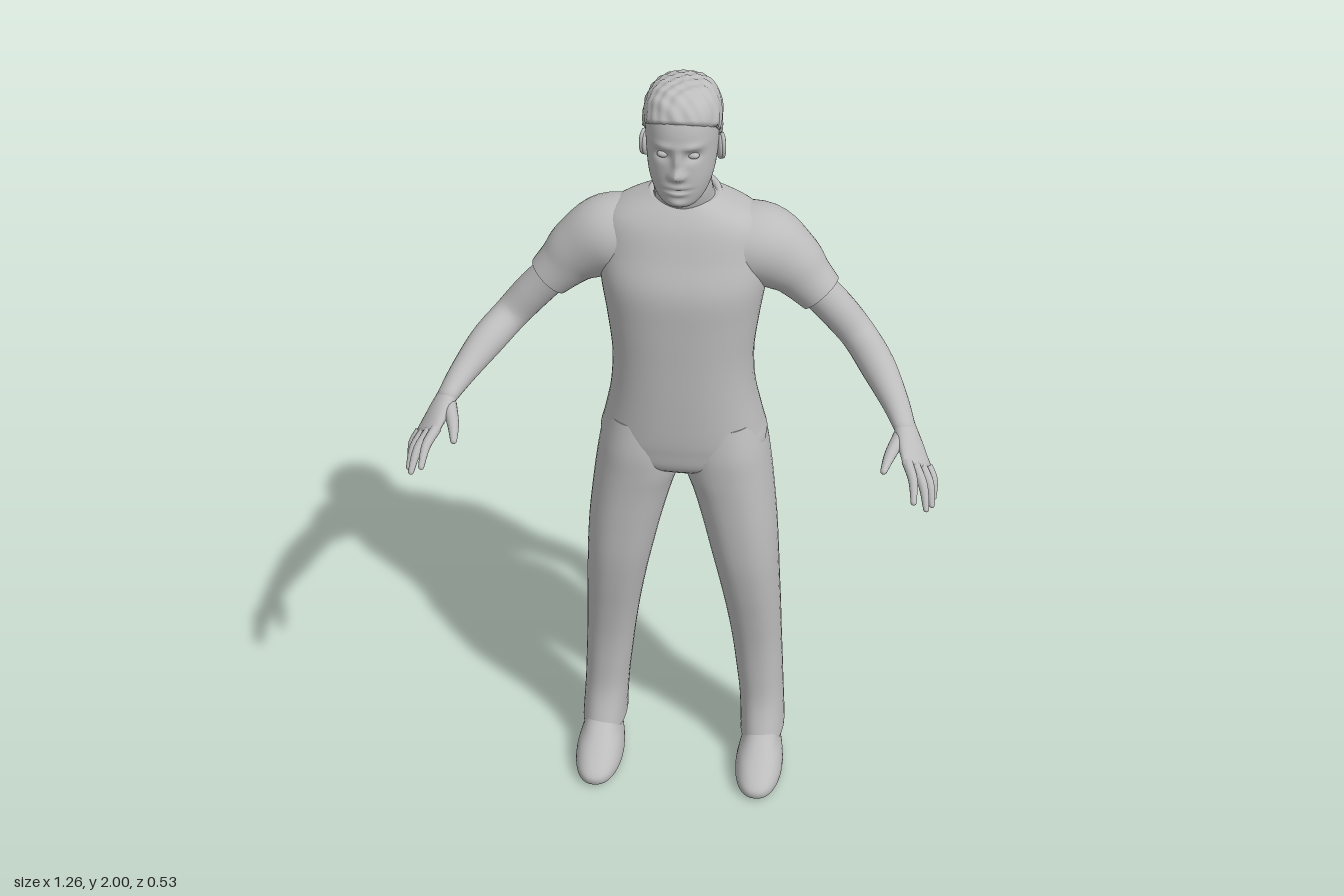
import * as THREE from 'three';

const grey = new THREE.MeshStandardMaterial({ color: 0xbcbcbc });
grey.name = 'plain grey';

// Smoothly resamples rows of numbers
function resample(rows, steps) {
  const out = [], n = rows.length;
  const at = (i) => rows[Math.min(n - 1, Math.max(0, i))];
  for (let i = 0; i < n - 1; i++) {
    for (let s = 0; s < steps; s++) {
      const t = s / steps;
      out.push(at(i).map((b, k) => {
        const a = at(i - 1)[k], c = at(i + 1)[k], d = at(i + 2)[k];
        return 0.5 * (2 * b + (c - a) * t + (2 * a - 5 * b + 4 * c - d) * t * t + (3 * b - a - 3 * c + d) * t * t * t);
      }));
    }
  }
  out.push(rows[n - 1]);
  return out;
}

// Skins a list of point rings and closes both ends
function skin(rings) {
  const pos = [], idx = [], n = rings[0].length;
  rings.forEach((r) => r.forEach((p) => pos.push(p.x, p.y, p.z)));
  for (let i = 0; i < rings.length - 1; i++) {
    for (let j = 0; j < n; j++) {
      const a = i * n + j, b = i * n + (j + 1) % n;
      idx.push(a, a + n, b, b, a + n, b + n);
    }
  }
  [rings[0], rings[rings.length - 1]].forEach((r, end) => {
    const base = pos.length / 3;
    const c = r.reduce((s, p) => s.add(p), new THREE.Vector3()).divideScalar(n);
    [...r, c].forEach((p) => pos.push(p.x, p.y, p.z));
    for (let j = 0; j < n; j++) {
      const a = base + j, b = base + (j + 1) % n;
      if (end) idx.push(a, base + n, b); else idx.push(a, b, base + n);
    }
  });
  const g = new THREE.BufferGeometry();
  g.setAttribute('position', new THREE.Float32BufferAttribute(pos, 3));
  g.setIndex(idx);
  g.computeVertexNormals();
  return g;
}

// Stacked level sections, rows of [y, xMin, xMax, zFront, zBack]
function stack(rows, power = 2.2, steps = 5, seg = 40, shape = (p) => p) {
  const bend = (v) => Math.sign(v) * Math.abs(v) ** (2 / power);
  return skin(resample(rows, steps).map(([y, x0, x1, zf, zb]) =>
    Array.from({ length: seg }, (_, j) => {
      const a = (j / seg) * Math.PI * 2;
      return shape(new THREE.Vector3(
        (x0 + x1) / 2 + bend(Math.cos(a)) * (x1 - x0) / 2, y,
        (zf + zb) / 2 + bend(Math.sin(a)) * (zf - zb) / 2));
    })));
}

// Tube along points [x, y, z, radiusU, radiusV]; u is the section's first axis
function limb(points, u, { steps = 5, seg = 20, round = true } = {}) {
  const rows = resample(points, steps), last = rows.length - 1;
  const P = (i) => new THREE.Vector3(...rows[Math.min(last, Math.max(0, i))]);
  const ring = (i, push, scale) => {
    const T = P(i + 1).sub(P(i - 1)).normalize();
    const U = new THREE.Vector3(...u);
    U.addScaledVector(T, -U.dot(T)).normalize();
    const V = U.clone().cross(T), [, , , ru, rv] = rows[i];
    return Array.from({ length: seg }, (_, j) => {
      const a = (j / seg) * Math.PI * 2;
      return P(i).addScaledVector(T, push * Math.min(ru, rv))
        .addScaledVector(U, Math.cos(a) * ru * scale).addScaledVector(V, Math.sin(a) * rv * scale);
    });
  };
  const rings = rows.map((_, i) => ring(i, 0, 1));
  if (round) {
    for (const d of [0.4, 0.8, 1.2, 1.5]) rings.push(ring(last, Math.sin(d), Math.cos(d)));
  }
  return skin(rings);
}

function mirrored(geo) {
  const g = geo.clone().scale(-1, 1, 1), i = g.index.array;
  for (let k = 0; k < i.length; k += 3) [i[k], i[k + 1]] = [i[k + 1], i[k]];
  return g;
}

// Face relief: [x, y, depth, width, height]
const relief = [
  [0, 1.818, 0.022, 0.012, 0.014], [0, 1.85, 0.013, 0.009, 0.024],
  [0.014, 1.813, 0.007, 0.007, 0.008], [-0.014, 1.813, 0.007, 0.007, 0.008],
  [0.034, 1.86, -0.012, 0.018, 0.012], [-0.034, 1.86, -0.012, 0.018, 0.012],
  [0.032, 1.884, 0.006, 0.024, 0.008], [-0.032, 1.884, 0.006, 0.024, 0.008],
  [0, 1.785, 0.006, 0.024, 0.006], [0, 1.768, 0.007, 0.02, 0.006],
  [0, 1.777, -0.005, 0.026, 0.003], [0, 1.742, 0.007, 0.02, 0.01],
];
function face(p) {
  if (p.z > -0.06) {
    for (const [x, y, d, w, h] of relief) p.z += d * Math.exp(-(((p.x - x) / w) ** 2) - ((p.y - y) / h) ** 2);
  }
  return p;
}
// Hair stands proud above the hairline and sinks into the skull below it
function hairShape(p) {
  const line = p.z > -0.05 ? 1.94 - Math.max(0, 0.02 - p.z) * 0.5 : 1.905 - (-0.05 - p.z) * 0.85;
  const lift = THREE.MathUtils.smoothstep(p.y, line - 0.006, line + 0.008) * 0.018 - 0.012;
  const tuft = lift > 0 ? 0.0025 * Math.sin(p.x * 170 + p.y * 90) * Math.sin(p.z * 190 + p.y * 60) : 0;
  const c = new THREE.Vector3(0, 1.88, -0.09);
  return p.addScaledVector(p.clone().sub(c).normalize(), lift + tuft);
}

export function createModel() {
  const model = new THREE.Group();
  model.name = 'standingMan';
  const add = (name, geo) => {
    const m = new THREE.Mesh(geo, grey);
    m.name = name;
    model.add(m);
  };
  const pair = (name, geo) => {
    add('left' + name, geo);
    add('right' + name, mirrored(geo));
  };

  // Torso, rows of [y, half width, zFront, zBack]
  const torso = [
    [0.965, 0.09, -0.04, -0.19], [1.0, 0.19, 0.0, -0.235], [1.05, 0.207, 0.012, -0.258], [1.1, 0.196, 0.018, -0.26],
    [1.2, 0.176, 0.022, -0.24], [1.3, 0.171, 0.024, -0.235], [1.4, 0.182, 0.026, -0.245], [1.5, 0.197, 0.025, -0.255],
    [1.58, 0.2, 0.0, -0.252], [1.64, 0.19, -0.02, -0.24], [1.675, 0.15, -0.038, -0.225], [1.705, 0.08, -0.06, -0.205],
  ].map(([y, w, f, b]) => [y, -w, w, f, b]);
  add('torso', stack(torso, 2.4, 5, 56));

  // Short sleeves
  pair('Sleeve', limb([
    [0.1, 1.585, -0.135, 0.1, 0.085], [0.18, 1.573, -0.135, 0.1, 0.098], [0.25, 1.533, -0.13, 0.077, 0.08],
    [0.29, 1.495, -0.125, 0.062, 0.064], [0.325, 1.46, -0.12, 0.054, 0.055],
  ], [0, 0, 1], { seg: 32, round: false }));

  // Trouser legs
  pair('TrouserLeg', stack([
    [0.08, 0.158, 0.276, -0.03, -0.247], [0.1, 0.158, 0.276, -0.03, -0.246], [0.2, 0.152, 0.27, -0.058, -0.236],
    [0.3, 0.141, 0.265, -0.06, -0.23], [0.4, 0.129, 0.26, -0.053, -0.226], [0.5, 0.114, 0.256, -0.037, -0.222],
    [0.6, 0.096, 0.251, -0.018, -0.22], [0.7, 0.075, 0.246, -0.003, -0.222], [0.8, 0.052, 0.239, 0.003, -0.231],
    [0.9, 0.025, 0.228, 0.006, -0.247], [0.97, 0.002, 0.219, 0.009, -0.258], [1.04, -0.002, 0.207, 0.01, -0.262],
    [1.12, 0.01, 0.185, 0.0, -0.245],
  ], 2.3));

  // Shoes
  pair('Shoe', stack([
    [0, 0.162, 0.276, 0.085, -0.19], [0.012, 0.155, 0.282, 0.098, -0.2], [0.035, 0.155, 0.282, 0.098, -0.2],
    [0.06, 0.16, 0.277, 0.066, -0.198], [0.085, 0.168, 0.269, 0.015, -0.195], [0.11, 0.174, 0.264, -0.025, -0.19],
    [0.14, 0.178, 0.258, -0.06, -0.18],
  ], 2.3, 4, 40, (p) => {
    // Narrow the heel
    if (p.z < -0.04) p.x = 0.217 + (p.x - 0.217) * (1 + (p.z + 0.04) * 1.1);
    return p;
  }));

  // Bare arms
  pair('Arm', limb([
    [0.29, 1.495, -0.12, 0.045, 0.045], [0.36, 1.42, -0.125, 0.045, 0.046], [0.42, 1.352, -0.115, 0.042, 0.043],
    [0.47, 1.31, -0.05, 0.041, 0.042], [0.515, 1.265, 0.025, 0.034, 0.032], [0.542, 1.235, 0.085, 0.029, 0.023],
  ], [0.055, -0.035, -0.045], { seg: 24 }));

  // Hands: palm, four fingers and thumb
  const across = [0.055, -0.035, -0.045];
  pair('Palm', limb([
    [0.54, 1.238, 0.075, 0.028, 0.022], [0.557, 1.21, 0.115, 0.038, 0.021], [0.577, 1.18, 0.158, 0.046, 0.014],
  ], across));
  const fingers = [
    ['IndexFinger', [0.553, 1.197, 0.172], [0.575, 1.142, 0.256]],
    ['MiddleFinger', [0.571, 1.186, 0.168], [0.605, 1.114, 0.24]],
    ['RingFinger', [0.588, 1.173, 0.154], [0.618, 1.104, 0.208]],
    ['LittleFinger', [0.602, 1.162, 0.138], [0.621, 1.103, 0.176]],
  ];
  for (const [name, a, b] of fingers) {
    const mid = a.map((v, k) => (v + b[k]) / 2);
    mid[0] += 0.006;
    mid[1] += 0.005;
    pair(name, limb([[...a, 0.0125, 0.0125], [...mid, 0.011, 0.011], [...b, 0.007, 0.007]], across, { seg: 12 }));
  }
  pair('Thumb', limb([
    [0.535, 1.222, 0.105, 0.018, 0.018], [0.514, 1.207, 0.165, 0.014, 0.014], [0.502, 1.197, 0.218, 0.008, 0.008],
  ], [1, 0, 0], { seg: 12 }));

  // Neck and shirt collar
  add('neck', limb([
    [0, 1.65, -0.13, 0.085, 0.08], [0, 1.7, -0.118, 0.072, 0.066], [0, 1.74, -0.098, 0.067, 0.056],
    [0, 1.79, -0.095, 0.065, 0.055],
  ], [1, 0, 0], { seg: 32 }));
  add('collar', new THREE.TorusGeometry(0.08, 0.009, 10, 48).rotateX(Math.PI / 2)
    .rotateX(0.26).translate(0, 1.695, -0.128));

  // Head and hair share the skull sections
  const skull = [
    [1.726, 0.025, -0.005, -0.07], [1.735, 0.044, 0.004, -0.1], [1.76, 0.062, 0.011, -0.135], [1.8, 0.075, 0.016, -0.165],
    [1.85, 0.081, 0.016, -0.185], [1.9, 0.083, 0.018, -0.195], [1.94, 0.081, 0.009, -0.195], [1.97, 0.068, -0.01, -0.178],
    [1.987, 0.045, -0.038, -0.148], [1.994, 0.012, -0.08, -0.105],
  ].map(([y, w, f, b]) => [y, -w, w, f, b]);
  add('head', stack(skull, 2.2, 9, 88, face));
  add('hair', stack(skull, 2.2, 9, 88, hairShape));

  // Eyes and ears
  pair('Eye', new THREE.SphereGeometry(0.012, 16, 12).scale(1.15, 0.7, 0.8).translate(0.034, 1.86, -0.002));
  pair('Ear', new THREE.SphereGeometry(0.03, 16, 12).scale(0.3, 1, 0.6).rotateY(0.35).translate(0.084, 1.84, -0.092));
  pair('EarRim', new THREE.TorusGeometry(0.023, 0.005, 8, 24).scale(0.7, 1.15, 1)
    .rotateY(Math.PI / 2 + 0.35).translate(0.089, 1.842, -0.094));

  return model;
}
